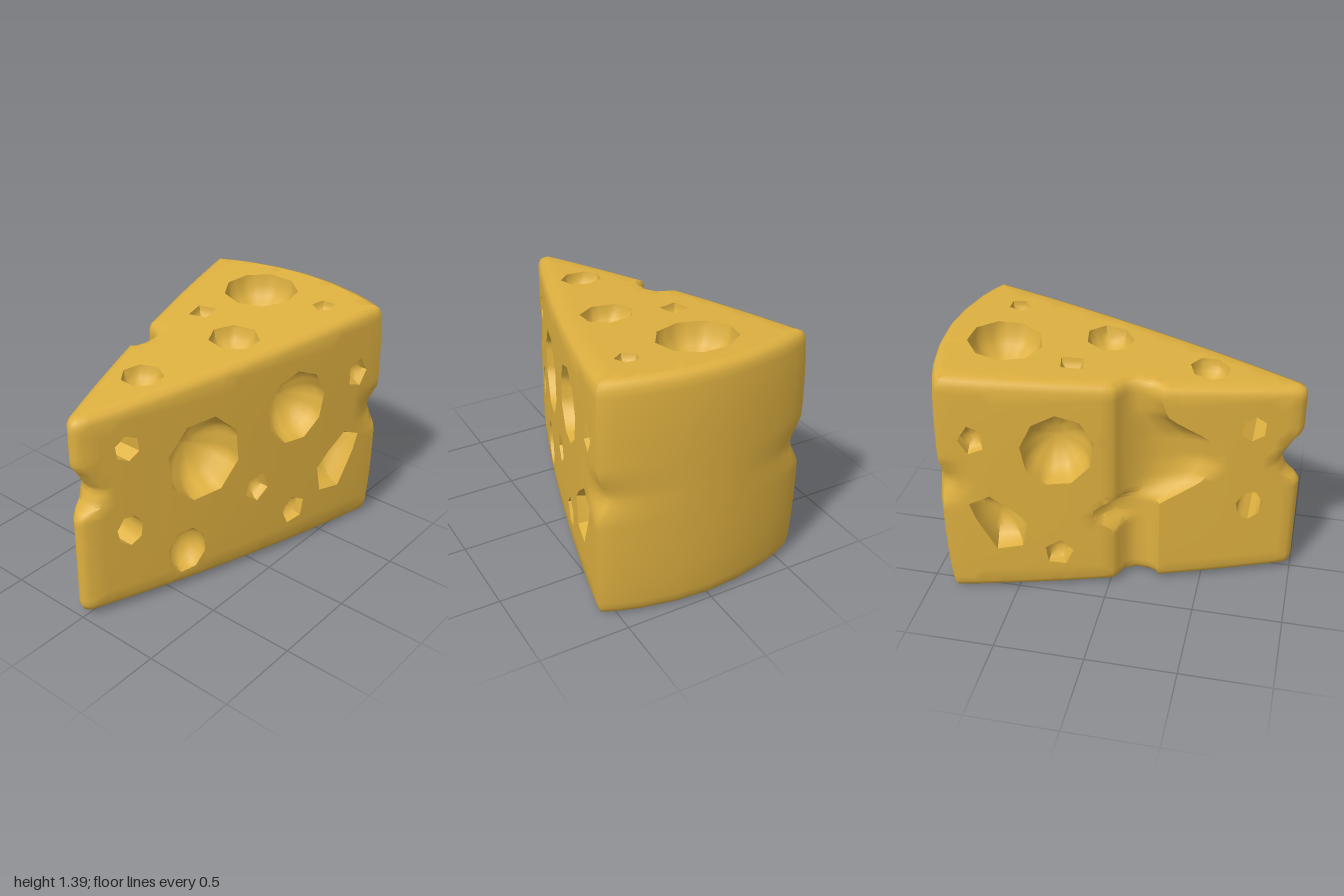
import * as THREE from 'three';
import { mergeGeometries, toCreasedNormals } from 'three/addons/utils/BufferGeometryUtils.js';

const V = (x, y, z) => new THREE.Vector3(x, y, z);
const B = 0.045; // bevel size
const ROWS = 36;
const lerp = THREE.MathUtils.lerp;

// Wedge dimensions: sloped top and bottom, bulging half width
const top = z => 1.22 + (1 - z) * 0.085;
const bot = z => 0.04 - (1 - z) * 0.02;
const width = z => 0.385 - 0.297 * z - 0.05 * z * z;
const slope = z => -0.297 - 0.1 * z;
const wallY = (z, t) => lerp(bot(z) + B, top(z) - B, t);

// Piecewise linear curve through [y, value] points
const curve = points => y => {
  const i = points.findIndex(p => y <= p[0]);
  if (i < 1) return points[0][1]; // both ends share one value
  const [[y0, v0], [y1, v1]] = [points[i - 1], points[i]];
  return lerp(v0, v1, (y - y0) / (y1 - y0));
};
const tipNotch = curve([[0.65, 0], [0.68, 0.07], [0.78, 0.11], [0.9, 0.04], [0.945, 0]]);
const grooveLip = curve([[0.56, 0.27], [0.68, 0.48], [0.8, 0.56], [0.95, 0.52], [1.1, 0.31], [1.2, 0.27]]);
const grooveRear = curve([[0.4, 0.02], [0.46, -0.08], [0.54, -0.08], [0.59, 0.02]]);
const cornerDent = (z, y) =>
  0.07 * Math.max(0, 1 - Math.abs(y - 0.74) / 0.14) * Math.max(0, 1 - Math.abs(z + 0.87) / 0.12);

// The walls draw in slightly towards top and bottom
function belly(p) {
  const k = 1 - 0.025 * ((p.y - 0.69) / 0.69) ** 4;
  return V(p.x * k, p.y, p.z < 0 ? p.z * k : p.z);
}
function geometry(points, index) {
  const g = new THREE.BufferGeometry().setFromPoints(points.map(belly));
  g.setIndex(index);
  return g.toNonIndexed();
}

// Surface through rows of points (columns run right, rows run up, seen from outside)
function loft(rows, closed = false) {
  const n = rows[0].length, index = [];
  for (let r = 0; r < rows.length - 1; r++) {
    for (let c = 0; c < (closed ? n : n - 1); c++) {
      const a = r * n + c, b = r * n + (c + 1) % n;
      index.push(a, b, b + n, a, b + n, a + n);
    }
  }
  return geometry(rows.flat(), index);
}

// Split the long edges of a closed outline
const split = pts => pts.flatMap(([u, v], i) => {
  const [u1, v1] = pts[(i + 1) % pts.length];
  const n = Math.ceil(Math.hypot(u1 - u, v1 - v) / 0.06);
  return Array.from({ length: n }, (_, k) => [lerp(u, u1, k / n), lerp(v, v1, k / n)]);
});
const inside = (pts, u, v) => pts.reduce((hit, [a, b], i) => {
  const [c, d] = pts[(i + 1) % pts.length];
  return (b > v) !== (d > v) && u < a + (c - a) * (v - b) / (d - b) ? !hit : hit;
}, false);

// Delaunay triangles of a point set (points nudged slightly to avoid ties)
function delaunay(points) {
  const p = points.map(([u, v], i) => [u + 1e-5 * Math.sin(i * 12.99), v + 1e-5 * Math.sin(i * 78.23)]);
  const n = p.length;
  p.push([-300, -300], [300, -300], [0, 400]);
  const tri = (a, b, c) => {
    const [x, y] = p[a], bx = p[b][0] - x, by = p[b][1] - y, cx = p[c][0] - x, cy = p[c][1] - y;
    const d = 2 * (bx * cy - by * cx), b2 = bx * bx + by * by, c2 = cx * cx + cy * cy;
    const ux = (cy * b2 - by * c2) / d, uy = (bx * c2 - cx * b2) / d;
    return { v: [a, b, c], x: x + ux, y: y + uy, r2: ux * ux + uy * uy };
  };
  let tris = [tri(n, n + 1, n + 2)];
  for (let i = 0; i < n; i++) {
    const edges = new Map();
    tris = tris.filter(t => {
      if ((p[i][0] - t.x) ** 2 + (p[i][1] - t.y) ** 2 >= t.r2) return true;
      t.v.forEach((a, k) => {
        const b = t.v[(k + 1) % 3];
        if (!edges.delete(b + '_' + a)) edges.set(a + '_' + b, [a, b]);
      });
      return false;
    });
    edges.forEach(([a, b]) => tris.push(tri(a, b, i)));
  }
  return tris.map(t => t.v).filter(v => Math.max(...v) < n);
}

// Panel with holes, evenly meshed and carried onto the body by map(u, v, depth)
function panel(outline, holes, map) {
  const edge = split(outline), pts = [edge, ...holes].flat(), rim = [...pts];
  const solid = (u, v) => inside(edge, u, v) && !holes.some(h => inside(h, u, v));
  for (let u = -1; u < 1; u += 0.06) for (let v = -1; v < 1.4; v += 0.06) {
    if (solid(u, v) && rim.every(q => Math.hypot(q[0] - u, q[1] - v) > 0.035)) pts.push([u, v]);
  }
  const index = delaunay(pts).filter(t => {
    const [a, b, c] = t.map(i => pts[i]);
    const area = (b[0] - a[0]) * (c[1] - a[1]) - (b[1] - a[1]) * (c[0] - a[0]);
    return area > 2e-6 && solid((a[0] + b[0] + c[0]) / 3, (a[1] + b[1] + c[1]) / 3);
  });
  return geometry(pts.map(([u, v]) => map(u, v, 0)), index.flat());
}

// Polygonal hole outline
const ngon = (u, v, ru, rv, sides, turn) => Array.from({ length: sides }, (_, i) => {
  const a = turn + i / sides * Math.PI * 2;
  return [u + ru * Math.cos(a), v + rv * Math.sin(a)];
});
const ccw = pts =>
  THREE.ShapeUtils.isClockWise(pts.map(([x, y]) => ({ x, y }))) ? [...pts].reverse() : pts;

// Rounded bowl hanging from a hole outline
function bowl(hole, map) {
  const pts = ccw(hole), mean = f => pts.reduce((s, p) => s + f(p), 0) / pts.length;
  const cu = mean(p => p[0]), cv = mean(p => p[1]), r = mean(p => Math.hypot(p[0] - cu, p[1] - cv));
  return loft([1, 0.94, 0.8, 0.57, 0.28, 0.001].map(s =>
    pts.map(([u, v]) => map(lerp(cu, u, s), lerp(cv, v, s), 0.95 * r * Math.sqrt(1 - s * s)))), true);
}

export function createModel() {
  const shell = [], linings = [];
  const addPanel = (outline, holes, map, open = []) => {
    shell.push(panel(outline, [...holes, ...open].map(split), map));
    holes.forEach(h => linings.push(bowl(split(h), map)));
  };

  // Holes of the side walls, as [z, y]
  const tunnels = [ngon(0.745, 1.0, 0.068, 0.075, 6, 0.4), ngon(0.745, 0.5, 0.072, 0.095, 7, 0.2)];
  const rearHoles = [
    ngon(-0.26, 0.93, 0.19, 0.22, 9, 0.2), ngon(-0.27, 0.25, 0.08, 0.09, 5, 1.4),
    ngon(-0.69, 1.01, 0.07, 0.09, 5, 0.6),
    [[-0.43, 0.47], [-0.5, 0.55], [-0.62, 0.65], [-0.73, 0.6], [-0.7, 0.5], [-0.6, 0.29], [-0.46, 0.31]]
  ];
  const rightHoles = [...rearHoles, ngon(0.32, 0.8, 0.215, 0.25, 8, 0.3),
    ngon(0.425, 0.245, 0.115, 0.145, 8, 0.3), ngon(-0.01, 0.5, 0.075, 0.09, 5, 0.9)];

  // Side walls
  const sideMap = s => (u, v, d) => {
    const z = -s * u, k = slope(z), len = Math.hypot(1, k);
    return V(s * (width(z) - cornerDent(z, v) - d / len), v, z + d * k / len);
  };
  function sideWall(s, zs, frontZ, backZ, holes, open) {
    const front = [], back = [], z0 = zs[0], z1 = zs[zs.length - 1];
    for (let i = 1; i < ROWS; i++) {
      const yf = wallY(z0, i / ROWS), yb = wallY(z1, i / ROWS);
      front.unshift([frontZ(yf), yf]);
      back.push([backZ(yb), yb]);
    }
    const outline = [...zs.map(z => [z, wallY(z, 0)]), ...back,
      ...[...zs].reverse().map(z => [z, wallY(z, 1)]), ...front];
    const flip = pts => pts.map(([z, y]) => [-s * z, y]);
    addPanel(flip(outline), holes.map(flip), sideMap(s), open.map(flip));
  }
  const frontEdge = y => 0.97 - tipNotch(y);
  const span = (a, b, n) => Array.from({ length: n + 1 }, (_, i) => lerp(a, b, i / n));
  const rightZ = span(0.97, -0.83, 36), rearZ = span(0.02, -0.83, 17), foreZ = span(0.97, 0.27, 14);
  sideWall(1, rightZ, frontEdge, () => -0.83, rightHoles, tunnels);
  sideWall(-1, rearZ, grooveRear, () => -0.83, rearHoles, []);
  sideWall(-1, foreZ, frontEdge, grooveLip, [], tunnels);

  // Tunnels through the narrow end
  for (const t of tunnels) {
    const ring = ccw(split(t).map(([z, y]) => [-z, y]));
    linings.push(loft([1, -1].map(s => ring.map(([u, y]) => V(s * width(-u), y, -u))), true));
  }

  // Tip, back and groove, each a strip of plan points that may change with height
  const tip = [-1, -0.5, 0, 0.5, 1].map(f => [f * width(0.97), 0.97 + 0.03 * (1 - f * f)]);
  const half = [[width(-0.83), -0.83], [0.602, -0.865], [0.57, -0.885], [0.51, -0.91], [0.4, -0.945], [0.2, -0.985]];
  const back = [...half, [0, -1], ...half.map(([x, z]) => [-x, z]).reverse()];
  const groove = [[-width(0.02), 0.02], [-0.35, 0.045], [-0.28, 0.075], [-0.25, 0.13],
    [-0.255, 0.2], [-0.275, 0.245], [-width(0.27), 0.27]];
  const strip = (cols, move) => shell.push(loft(span(0, 1, ROWS).map(t => cols.map(([x, z], c) => {
    const y = wallY(z, t), [mx, mz] = move(x, z, y, c);
    return V(mx, y, mz);
  }))));
  strip(tip, (x, z, y) => [x * width(frontEdge(y)) / width(0.97), z - tipNotch(y)]);
  strip(back, (x, z, y) => [x - Math.sign(x) * cornerDent(z, y), z]);
  const shift = [[0, 0], [0.03, -0.08], [0.01, -0.05], [0.06, 0.12], [0.09, 0.18], [0.11, 0.23]];
  strip(groove, (x, z, y, c) => {
    const lip = grooveLip(y), rear = grooveRear(y);
    if (c === 0) return [-width(rear), rear];
    if (c === 6) return [-width(lip), lip];
    const k = c < 3 ? (0.02 - rear) / 0.1 : (lip - 0.27) / 0.29;
    return [x + shift[c][0] * k, z + shift[c][1] * k];
  });

  // Rounded top and bottom rims around the whole plan
  const left = zs => [...zs].reverse().slice(1, -1).map(z => [-width(z), z]);
  const plan = [...tip, ...rightZ.slice(1, -1).map(z => [width(z), z]), ...back,
    ...left(rearZ), ...groove, ...left(foreZ)];
  const inset = d => plan.map(([x, z], i) => {
    const a = plan[(i + plan.length - 1) % plan.length], b = plan[(i + 1) % plan.length];
    const tx = b[0] - a[0], tz = b[1] - a[1], len = Math.hypot(tx, tz);
    return [x + d * tz / len, z - d * tx / len];
  });
  const bevel = [[0, B], [0.3 * B, 0.3 * B], [B, 0]];
  shell.push(loft(bevel.map(([d, h]) => inset(d).map(([x, z]) => V(x, top(z) - h, z))), true));
  shell.push(loft([...bevel].reverse().map(([d, h]) => inset(d).map(([x, z]) => V(x, bot(z) + h, z))), true));

  // Top and bottom, sharing one layout of holes as [x, z]
  const capHoles = [ngon(-0.09, -0.64, 0.225, 0.21, 9, 0.2), ngon(0.335, -0.68, 0.068, 0.065, 5, 0.3),
    ngon(-0.2, -0.235, 0.078, 0.085, 4, 0.6), ngon(0.14, -0.1, 0.15, 0.135, 7, 0.5),
    ngon(0, 0.48, 0.12, 0.11, 7, 0.3)];
  const rim = inset(B), flipZ = pts => pts.map(([x, z]) => [x, -z]);
  addPanel(flipZ(rim), capHoles.map(flipZ), (u, v, d) => V(u, top(-v) - d, -v));
  addPanel(rim, capHoles, (u, v, d) => V(u, bot(v) + d, v));

  const cheese = new THREE.MeshStandardMaterial({ color: 0xdeb040 });
  cheese.name = 'cheese yellow';
  const group = new THREE.Group();
  group.name = 'cheeseWedge';
  for (const [name, parts] of [['wedgeBody', shell], ['holeLinings', linings]]) {
    const mesh = new THREE.Mesh(toCreasedNormals(mergeGeometries(parts), 0.9), cheese);
    mesh.name = name;
    group.add(mesh);
  }
  return group;
}
